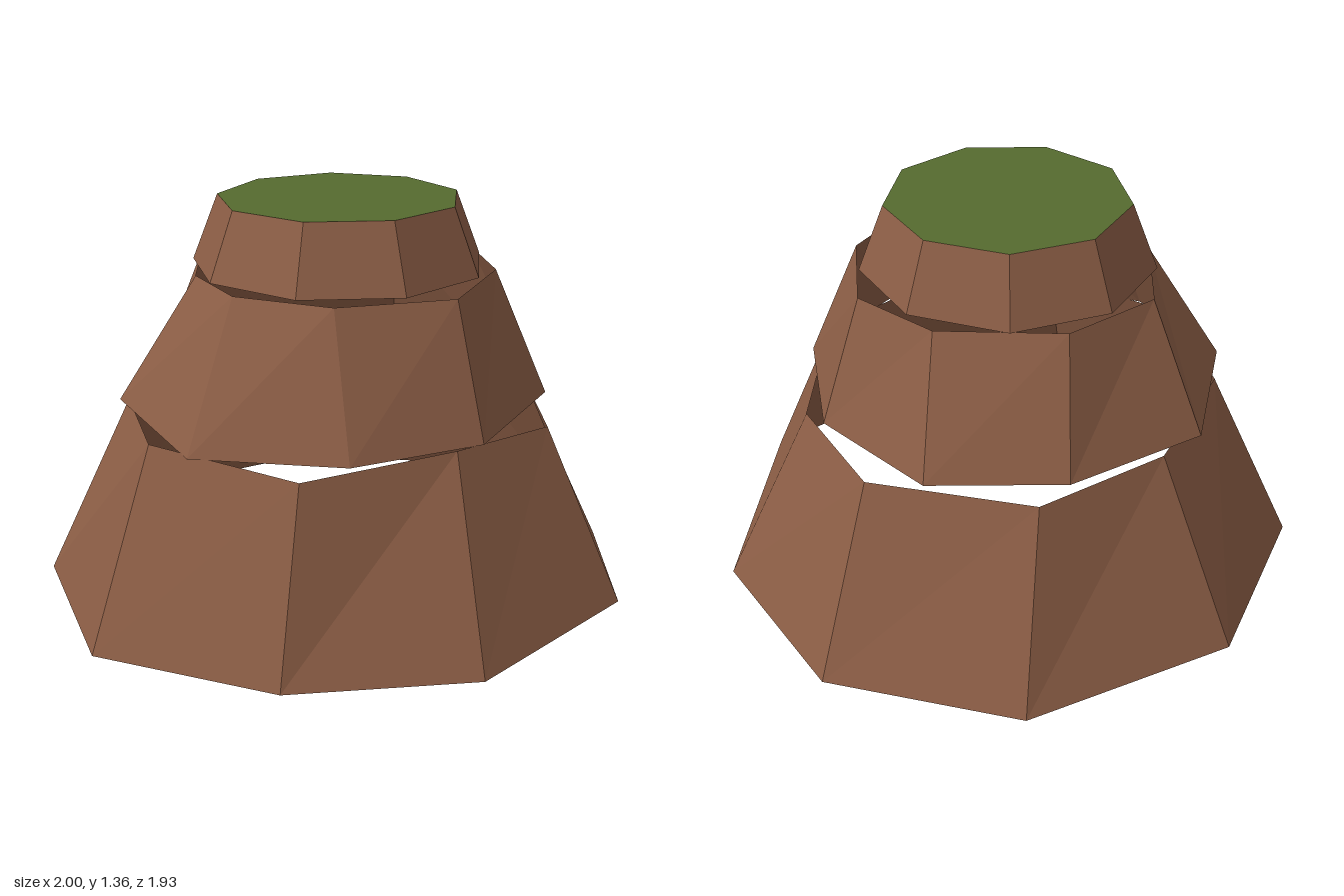
import * as THREE from 'three';

// Each side: bottom x, y, z then top x, y, z, clockwise seen from above
const LOWER = [
  [0.12, 0.04, -0.97, 0.03, 0.66, -0.70],
  [0.73, 0.045, -0.69, 0.54, 0.67, -0.49],
  [1.0, 0.0, -0.04, 0.69, 0.65, -0.05],
  [0.79, 0.075, 0.62, 0.57, 0.66, 0.47],
  [0.20, 0.06, 0.96, 0.19, 0.695, 0.68],
  [-0.41, 0.06, 0.88, -0.31, 0.66, 0.72],
  [-0.92, 0.0, 0.41, -0.70, 0.67, 0.33],
  [-1.0, 0.03, -0.20, -0.71, 0.665, -0.12],
  [-0.60, 0.045, -0.78, -0.41, 0.67, -0.53],
];
const MIDDLE = [
  [-0.07, 0.715, -0.68, -0.10, 1.135, -0.49],
  [0.37, 0.71, -0.595, 0.30, 1.13, -0.39],
  [0.64, 0.70, -0.19, 0.50, 1.125, -0.14],
  [0.64, 0.705, 0.275, 0.47, 1.125, 0.215],
  [0.29, 0.69, 0.64, 0.245, 1.115, 0.49],
  [-0.15, 0.68, 0.695, -0.15, 1.12, 0.505],
  [-0.60, 0.66, 0.455, -0.42, 1.12, 0.305],
  [-0.75, 0.705, -0.01, -0.49, 1.12, 0.03],
  [-0.545, 0.70, -0.485, -0.41, 1.125, -0.32],
];

// Open, uneven ring of sloping wall panels
function ringGeometry(rows) {
  const pos = [];
  rows.forEach((a, i) => {
    const b = rows[(i + 1) % rows.length];
    const b0 = a.slice(0, 3), t0 = a.slice(3), b1 = b.slice(0, 3), t1 = b.slice(3);
    pos.push(...b1, ...b0, ...t0, ...b1, ...t0, ...t1);
  });
  const geometry = new THREE.BufferGeometry();
  geometry.setAttribute('position', new THREE.Float32BufferAttribute(pos, 3));
  geometry.computeVertexNormals();
  return geometry;
}

export function createModel() {
  const group = new THREE.Group();
  const material = (name, color) => {
    const m = new THREE.MeshStandardMaterial({ color, flatShading: true, side: THREE.DoubleSide });
    m.name = name;
    return m;
  };
  const earth = material('earth brown', 0x8b5d45);
  const grass = material('grass green', 0x556b2f);

  const add = (name, geometry, mat) => {
    const mesh = new THREE.Mesh(geometry, mat);
    mesh.name = name;
    group.add(mesh);
    return mesh;
  };

  // Two irregular tiers
  add('lowerTier', ringGeometry(LOWER), earth);
  add('middleTier', ringGeometry(MIDDLE), earth);

  // Regular nine-sided top tier with a grassy cap
  const top = 1.355, bottom = 1.135;
  const wall = new THREE.CylinderGeometry(0.403, 0.49, top - bottom, 9, 1, true, Math.PI / 2);
  add('upperTier', wall, earth).position.set(-0.01, (top + bottom) / 2, 0.026);
  const cap = new THREE.CircleGeometry(0.403, 9).rotateX(-Math.PI / 2);
  add('grassCap', cap, grass).position.set(-0.01, top, 0.026);

  return group;
}
